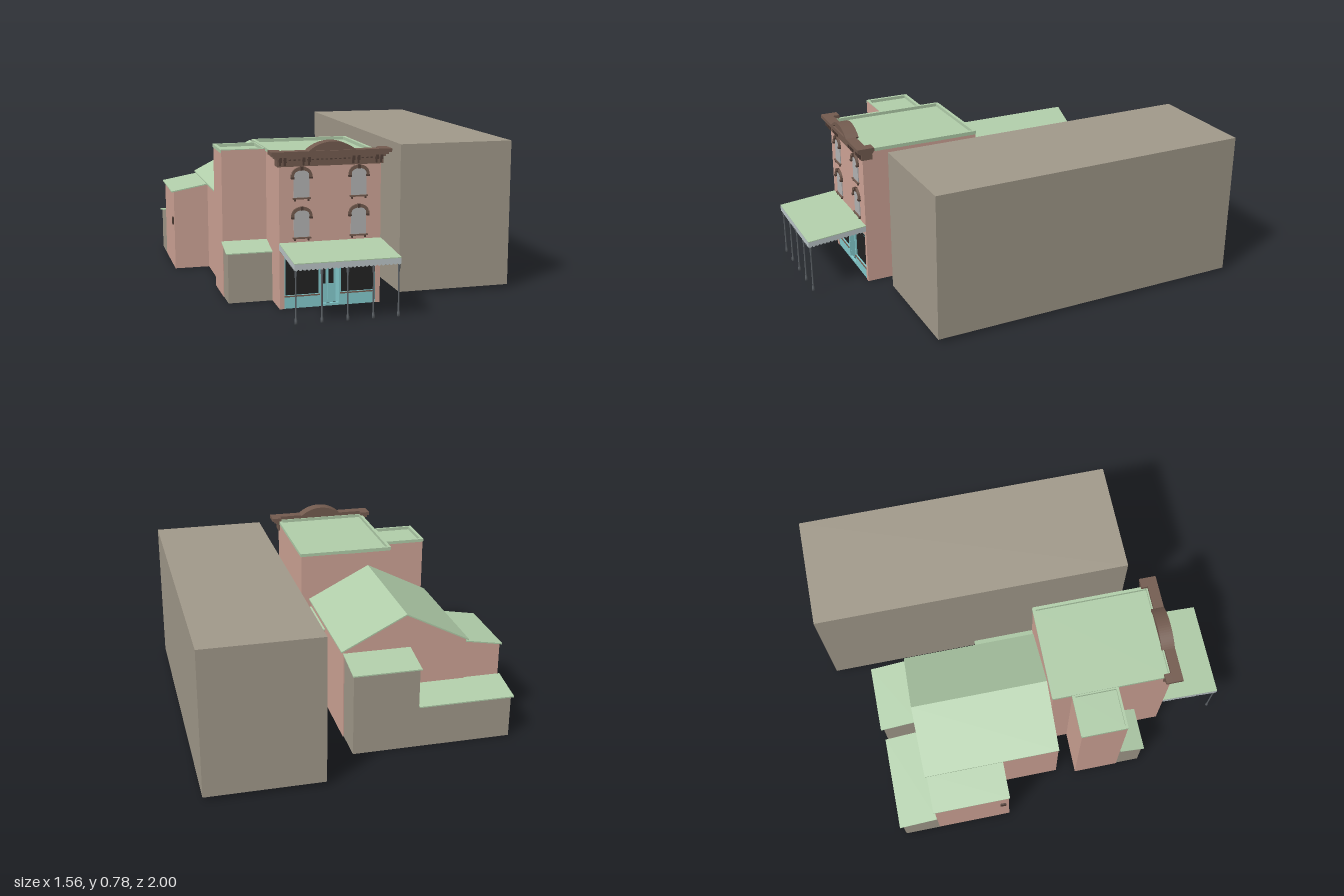
import * as THREE from 'three';

const mat = (name, color, side = THREE.FrontSide) => {
  const m = new THREE.MeshStandardMaterial({ color, side });
  m.name = name;
  return m;
};

export function createModel() {
  const root = new THREE.Group();
  root.name = 'streetBuildings';
  const brick = mat('brick pink', 0xd0a597, THREE.DoubleSide);
  const taupe = mat('taupe wall', 0xa29a8b, THREE.DoubleSide);
  const green = mat('roof green', 0xb2cfab, THREE.DoubleSide);
  const brown = mat('trim brown', 0x745c50);
  const darkBrown = mat('bracket brown', 0x523f37);
  const teal = mat('shopfront turquoise', 0x84cbce, THREE.DoubleSide);
  const black = mat('shop glass', 0x222222);
  const glass = mat('window grey', 0xb4b4b4);
  const canvas = mat('valance grey', 0xbcc6c9, THREE.DoubleSide);
  const iron = mat('post grey', 0x5c6166);

  const add = (name, geo, m, parent = root) => {
    const mesh = new THREE.Mesh(geo, m);
    mesh.name = name;
    parent.add(mesh);
    return mesh;
  };
  const group = (name, parent = root) => {
    const g = new THREE.Group();
    g.name = name;
    parent.add(g);
    return g;
  };
  const box = (name, m, x0, x1, y0, y1, z0, z1, parent) => add(name,
    new THREE.BoxGeometry(x1 - x0, y1 - y0, z1 - z0)
      .translate((x0 + x1) / 2, (y0 + y1) / 2, (z0 + z1) / 2), m, parent);

  // Block whose bottom and top follow height rules; faces can be left out
  // (0 +x, 1 -x, 2 top, 3 bottom, 4 +z, 5 -z)
  const prism = (name, m, x0, x1, z0, z1, bottom, top, drop = [], xSegs = 1) => {
    const g = new THREE.BoxGeometry(x1 - x0, 1, z1 - z0, xSegs, 1, 1);
    g.translate((x0 + x1) / 2, 0, (z0 + z1) / 2);
    const p = g.attributes.position;
    for (let i = 0; i < p.count; i++) {
      const x = p.getX(i), z = p.getZ(i);
      p.setY(i, p.getY(i) > 0 ? top(x, z) : bottom(x, z));
    }
    const src = Array.from(g.index.array);
    g.setIndex(g.groups.flatMap((f, i) => drop.includes(i) ? [] : src.slice(f.start, f.start + f.count)));
    g.clearGroups();
    const flat = g.toNonIndexed();
    flat.computeVertexNormals();
    return add(name, flat, m);
  };
  const ground = () => 0;
  const extrude = (shape, depth, z) => new THREE.ExtrudeGeometry(shape,
    { depth, bevelEnabled: false, curveSegments: 10 }).translate(0, 0, z);
  const rect = (C, x0, x1, y0, y1) => new C([[x0, y0], [x1, y0], [x1, y1], [x0, y1]]
    .map(([x, y]) => new THREE.Vector2(x, y)));

  // Neighbouring block
  box('neighbourBlock', taupe, 0.21, 0.78, 0.017, 0.74, -1, 0.615);

  // Flat roof with a raised coping around it
  const flatRoof = (name, x0, x1, z0, z1, y) => {
    const g = group(name);
    const t = 0.012, e = 0.004;
    box('roofDeck', green, x0, x1, y - 0.02, y - 0.016, z0, z1, g);
    for (const [a, b] of [[x0 - e, x0 + t], [x1 - t, x1 + e]]) box('coping', green, a, b, y - 0.016, y, z0, z1, g);
    for (const [a, b] of [[z0 - e, z0 + t], [z1 - t, z1]]) box('coping', green, x0, x1, y - 0.016, y, a, b, g);
  };

  // Main building: open-bottomed walls and a facade with the shop opening
  prism('mainWalls', brick, -0.403, 0.083, 0.092, 0.7, ground, () => 0.718, [2, 3, 4]);
  flatRoof('mainRoof', -0.403, 0.083, 0.092, 0.69, 0.722);
  const facade = new THREE.Shape([[-0.403, 0], [-0.38, 0], [-0.38, 0.255], [0.06, 0.255], [0.06, 0],
    [0.083, 0], [0.083, 0.718], [-0.403, 0.718]].map(([x, y]) => new THREE.Vector2(x, y)));
  add('facade', extrude(facade, 0.015, 0.685), brick);

  // Stair tower and low annex on the side
  prism('towerWalls', brick, -0.618, -0.403, 0.19, 0.42, ground, () => 0.714, [2, 3]);
  flatRoof('towerRoof', -0.618, -0.403, 0.19, 0.42, 0.718);
  const annexTop = (x, z) => 0.243 + (0.55 - z) * 0.25;
  prism('annexWalls', taupe, -0.615, -0.403, 0.42, 0.54, ground, annexTop, [2, 3]);
  prism('annexRoof', green, -0.625, -0.403, 0.42, 0.55, (x, z) => annexTop(x, z) - 0.005, annexTop);

  // Gabled rear building
  const gable = (x) => 0.63 - Math.abs(x + 0.28) * 0.51;
  prism('gableWalls', brick, -0.59, 0.03, -0.59, 0.09, ground, (x) => gable(x) - 0.006, [2, 3], 2);
  prism('gableRoof', green, -0.602, 0.042, -0.6, 0.09, (x) => gable(x) - 0.007, gable, [], 2);

  // Lean-to sheds around the rear building
  const shed = (name, m, w, r, top) => {
    prism(name + 'Walls', m, ...w, ground, (x, z) => top(x, z) - 0.004, [2, 3]);
    prism(name + 'Roof', green, ...r, (x, z) => top(x, z) - 0.006, top);
  };
  shed('sideShed', brick, [-0.77, -0.59, -0.585, -0.205], [-0.782, -0.59, -0.59, -0.2],
    (x) => 0.42 + (x + 0.782) * 0.18);
  shed('narrowShed', brick, [0.03, 0.08, -0.215, 0.092], [0.03, 0.085, -0.22, 0.092],
    (x) => 0.42 - (x - 0.03) * 0.18);
  shed('tallBackShed', taupe, [-0.3, 0.025, -0.765, -0.59], [-0.305, 0.032, -0.78, -0.59],
    (x, z) => 0.422 + (z + 0.78) * 0.16);
  shed('lowBackShed', taupe, [-0.77, -0.3, -0.765, -0.585], [-0.78, -0.3, -0.78, -0.585],
    (x, z) => 0.222 + (z + 0.78) * 0.16);
  box('wallBox', darkBrown, -0.778, -0.77, 0.238, 0.274, -0.25, -0.22);

  // Shopfront frame with openings for windows and recessed door
  const shop = group('shopfront');
  const frame = rect(THREE.Shape, -0.38, 0.06, 0, 0.255);
  const panes = [[-0.375, -0.215], [-0.108, 0.054]];
  for (const [a, b] of panes) frame.holes.push(rect(THREE.Path, a, b, 0.062, 0.235));
  frame.holes.push(rect(THREE.Path, -0.205, -0.118, 0.012, 0.235));
  add('shopFrame', extrude(frame, 0.012, 0.684), teal, shop);
  for (const [a, b] of panes) {
    box('shopWindow', black, a, b, 0.062, 0.235, 0.682, 0.688, shop);
    box('windowSill', brown, a - 0.004, b + 0.004, 0.055, 0.061, 0.69, 0.7, shop);
  }
  box('shopTransom', black, -0.37, 0.05, 0.239, 0.245, 0.694, 0.698, shop);
  for (const x of [-0.207, -0.118]) box('recessSide', teal, x, x + 0.003, 0, 0.238, 0.64, 0.69, shop);
  box('recessCeiling', teal, -0.206, -0.117, 0.235, 0.238, 0.64, 0.69, shop);
  box('doorWall', teal, -0.206, -0.117, 0, 0.238, 0.634, 0.64, shop);
  for (const x of [-0.182, -0.142]) {
    box('doorLeaf', teal, x - 0.018, x + 0.018, 0.014, 0.185, 0.64, 0.645, shop);
    box('doorPane', black, x - 0.012, x + 0.012, 0.095, 0.172, 0.645, 0.648, shop);
    box('transomPane', black, x - 0.016, x + 0.016, 0.196, 0.226, 0.64, 0.643, shop);
  }

  // Upper windows with arched hoods and bracketed sills
  const arch = (w, y0, spring, rise) => {
    const s = new THREE.Shape();
    s.moveTo(-w, y0);
    s.lineTo(w, y0);
    s.lineTo(w, spring);
    s.absellipse(0, spring, w, rise, 0, Math.PI, false);
    return s;
  };
  const hood = new THREE.Shape();
  hood.moveTo(0.036, 0.108);
  hood.lineTo(0.05, 0.108);
  hood.lineTo(0.05, 0.124);
  hood.absellipse(0, 0.124, 0.047, 0.034, 0, Math.PI, false);
  hood.lineTo(-0.05, 0.124);
  hood.lineTo(-0.05, 0.108);
  hood.lineTo(-0.036, 0.108);
  hood.absellipse(0, 0.12, 0.036, 0.022, Math.PI, 0, true);
  for (const x of [-0.298, -0.025]) for (const y of [0.323, 0.508]) {
    const w = group('archedWindow');
    w.position.set(x, y, 0.7);
    add('pane', extrude(arch(0.037, 0.014, 0.12, 0.023), 0.004, 0), glass, w);
    add('windowHood', extrude(hood, 0.011, 0), brown, w);
    add('keystone', new THREE.BoxGeometry(0.012, 0.018, 0.014).translate(0, 0.15, 0.007), darkBrown, w);
    add('sill', new THREE.BoxGeometry(0.086, 0.007, 0.012).translate(0, 0.012, 0.006), brown, w);
    for (const s of [-1, 1]) {
      add('sillBracket', new THREE.BoxGeometry(0.007, 0.01, 0.009).translate(s * 0.032, 0.004, 0.0045), darkBrown, w);
      add('hoodFoot', new THREE.BoxGeometry(0.015, 0.008, 0.014).translate(s * 0.043, 0.107, 0.007), darkBrown, w);
    }
  }

  // Stepped cornice with end returns, brackets and dentils
  const cornice = group('cornice');
  const cx = -0.16;
  const steps = [[0.252, 0.668, 0.702, 0.708], [0.262, 0.702, 0.712, 0.717],
    [0.273, 0.712, 0.722, 0.727], [0.285, 0.722, 0.74, 0.737]];
  for (const [h, y0, y1, z] of steps) {
    box('corniceStep', brown, cx - h, cx + h, y0, y1, 0.685, z, cornice);
    for (const s of [-1, 1]) {
      const a = cx + s * 0.235, b = cx + s * h;
      box('corniceReturn', brown, Math.min(a, b), Math.max(a, b), y0, y1, 0.652, z, cornice);
    }
  }
  for (const s of [-1, 1]) for (const d of [0.105, 0.13, 0.218, 0.24]) {
    const x = cx + s * d;
    box('bracketTop', darkBrown, x - 0.006, x + 0.006, 0.69, 0.712, 0.7, 0.726, cornice);
    box('bracketFoot', darkBrown, x - 0.004, x + 0.004, 0.674, 0.69, 0.7, 0.715, cornice);
  }
  for (let i = -9; i <= 9; i++) {
    const x = cx + i * 0.0215;
    box('dentil', darkBrown, x - 0.005, x + 0.005, 0.696, 0.705, 0.7, 0.714, cornice);
  }

  // Curved pediment: recessed face and projecting rim
  const a0 = 0.857, R = 0.1717;
  const face = new THREE.Shape();
  face.absarc(0, 0, R - 0.002, a0, Math.PI - a0, false);
  const rim = new THREE.Shape();
  rim.absarc(0, 0, R, a0, Math.PI - a0, false);
  rim.absarc(0, 0, R - 0.014, Math.PI - a0, a0, true);
  add('pedimentFace', extrude(face, 0.055, 0.672), brown, cornice).position.set(cx, 0.61, 0);
  add('pedimentRim', extrude(rim, 0.067, 0.67), brown, cornice).position.set(cx, 0.61, 0);

  // Awning with scalloped valances and slim posts
  const slope = (x, z) => 0.289 + (1 - z) * 0.085;
  prism('awningTop', green, -0.405, 0.085, 0.7, 1, (x, z) => slope(x, z) - 0.004, slope);
  const valance = (len, n, rise) => {
    const s = new THREE.Shape();
    const y = (x) => rise * x / len;
    s.moveTo(0, -0.003);
    s.lineTo(len, y(len) - 0.003);
    s.lineTo(len, y(len) - 0.027);
    for (let i = n; i > 0; i--) {
      const x = (i - 1) * len / n, m = (i - 0.5) * len / n;
      s.quadraticCurveTo(m, y(m) - 0.04, x, y(x) - 0.027);
    }
    return new THREE.ExtrudeGeometry(s, { depth: 0.004, bevelEnabled: false, curveSegments: 4 });
  };
  add('frontValance', valance(0.49, 26, 0), canvas).position.set(-0.405, 0.289, 0.996);
  for (const x of [-0.405, 0.081]) {
    const v = add('sideValance', valance(0.3, 16, 0.0255), canvas);
    v.rotation.y = Math.PI / 2;
    v.position.set(x, 0.289, 1);
  }
  const postProfile = [[0, 0.015], [0.007, 0.015], [0.007, 0.03], [0.004, 0.045], [0.0035, 0.22],
    [0.006, 0.235], [0.006, 0.285]].map(([r, y]) => new THREE.Vector2(r, y));
  for (let i = 0; i < 5; i++) {
    add('awningPost', new THREE.LatheGeometry(postProfile, 8), iron).position.set(-0.397 + i * 0.1185, 0, 0.989);
  }
  return root;
}
